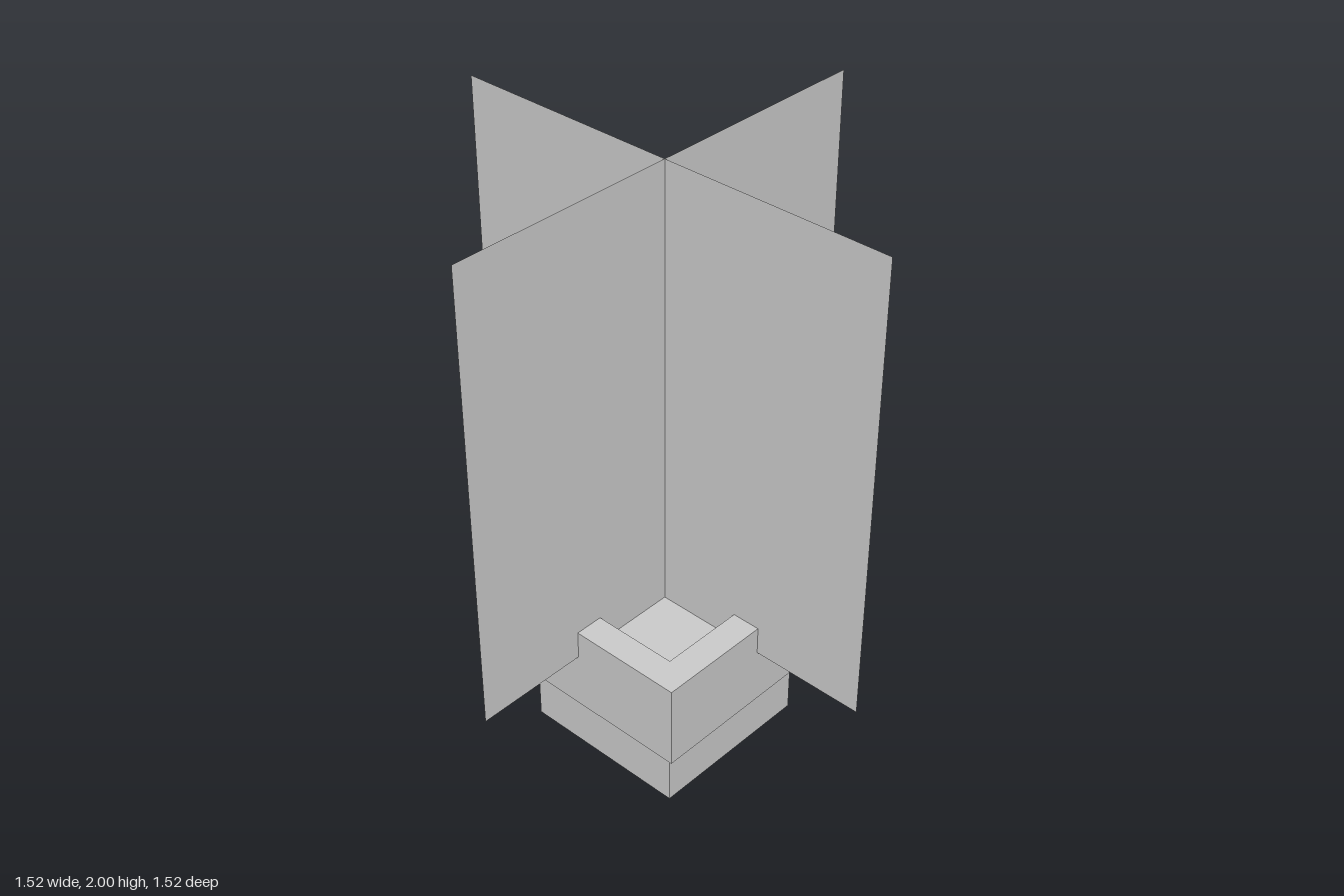
import * as THREE from 'three';

const U = 2 / 21; // the model is 21 units tall

export function createModel() {
  const model = new THREE.Group();
  const material = new THREE.MeshStandardMaterial({ color: 0xcccccc, flatShading: true });
  const leafMaterial = new THREE.MeshStandardMaterial({ color: 0xcccccc, side: THREE.DoubleSide });

  const add = (name, geometry, mat, y) => {
    const mesh = new THREE.Mesh(geometry, mat);
    mesh.name = name;
    mesh.position.y = y * U;
    model.add(mesh);
    return mesh;
  };

  const square = (Path, size) => {
    const h = size * U / 2;
    return new Path([[-h, -h], [h, -h], [h, h], [-h, h]].map(([x, y]) => new THREE.Vector2(x, y)));
  };

  // Pot body, whose top is the soil
  add('potBody', new THREE.BoxGeometry(6 * U, 5 * U, 6 * U), material, 2.5);

  // Wider square rim, open in the middle
  const ring = square(THREE.Shape, 8);
  ring.holes.push(square(THREE.Path, 6));
  const rim = new THREE.ExtrudeGeometry(ring, { depth: 3 * U, bevelEnabled: false });
  rim.rotateX(-Math.PI / 2);
  add('potRim', rim, material, 3);

  // Two crossed upright sheets for the plant
  ['plantSheetAcross', 'plantSheetDeep'].forEach((name, i) => {
    add(name, new THREE.PlaneGeometry(16 * U, 16 * U), leafMaterial, 13).rotation.y = i * Math.PI / 2;
  });

  return model;
}
